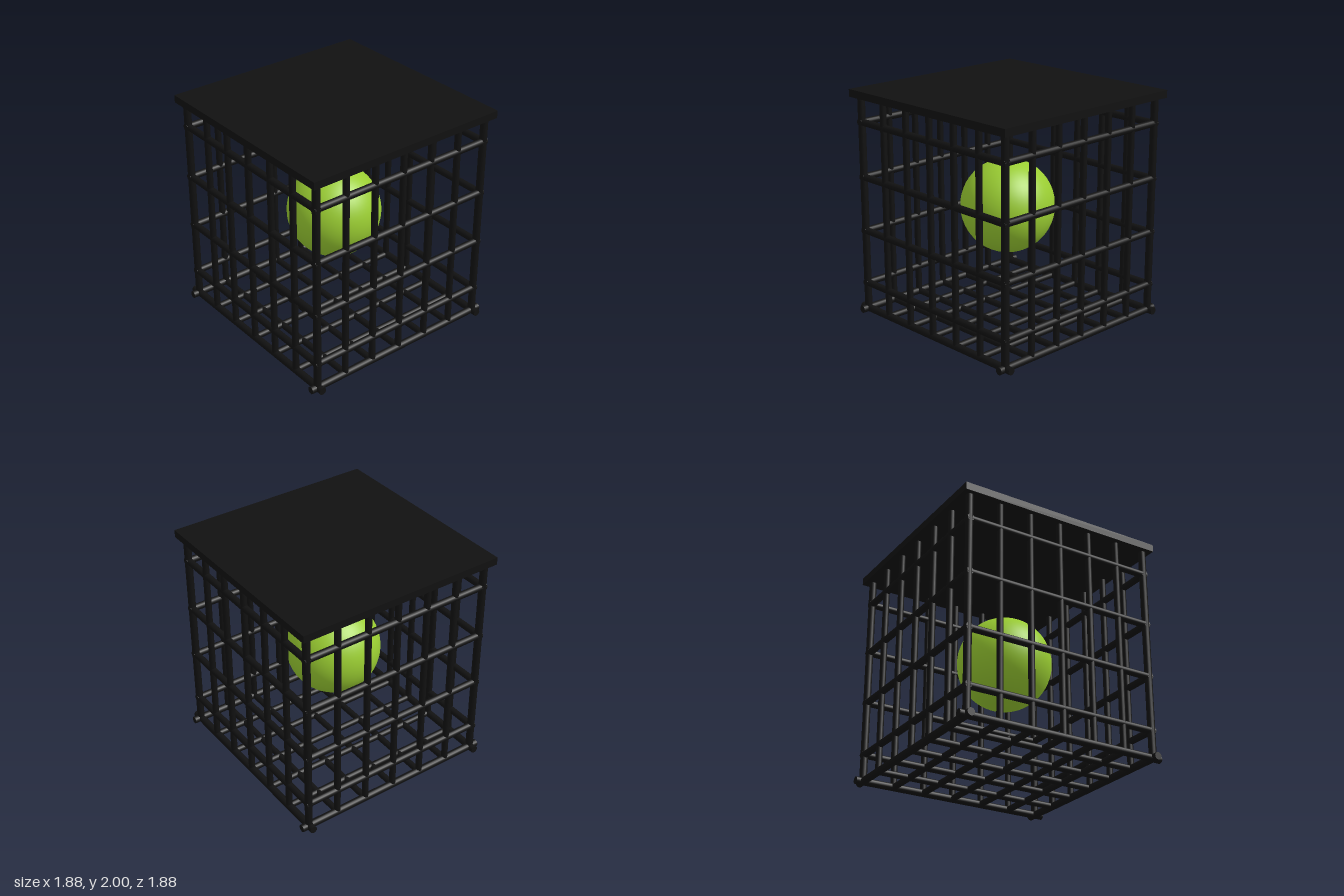
import * as THREE from 'three';

const HALF = 0.867;        // distance of the bar walls from the centre
const STEP = HALF / 3;     // spacing of the bars
const FRAME_R = 0.0325;
const BAR_R = 0.028;
const RAIL_R = 0.03;

export function createModel() {
  const group = new THREE.Group();
  const black = new THREE.MeshStandardMaterial({ color: 0x111111 });
  const green = new THREE.MeshStandardMaterial({ color: 0x9acd32 });

  const add = (name, geometry, material, x, y, z) => {
    const mesh = new THREE.Mesh(geometry, material);
    mesh.name = name;
    mesh.position.set(x, y, z);
    group.add(mesh);
    return mesh;
  };

  // A round bar along the given axis
  const bar = (name, axis, radius, length, x, y, z) => {
    const mesh = add(name, new THREE.CylinderGeometry(radius, radius, length, 16), black, x, y, z);
    if (axis === 'x') mesh.rotation.z = Math.PI / 2;
    if (axis === 'z') mesh.rotation.x = Math.PI / 2;
  };

  // Solid lid
  add('lid', new THREE.BoxGeometry(1.876, 0.066, 1.876), black, 0, 1.967, 0);

  // Ball floating in the middle
  add('ball', new THREE.SphereGeometry(0.407, 48, 32), green, 0, 0.99, 0);

  for (const side of [-1, 1]) {
    const w = side * HALF;

    // Base frame, its ends crossing at the corners
    bar('baseFrame', 'x', FRAME_R, 1.876, 0, FRAME_R, w);
    bar('baseFrame', 'z', FRAME_R, 1.876, w, FRAME_R, 0);

    // Corner posts
    for (const s of [-1, 1]) bar('cornerPost', 'y', FRAME_R, 1.91, w, 0.985, s * HALF);

    // Upright bars of the walls
    for (let i = -2; i <= 2; i++) {
      bar('uprightBar', 'y', BAR_R, 1.91, i * STEP, 0.985, w);
      bar('uprightBar', 'y', BAR_R, 1.91, w, 0.985, i * STEP);
    }

    // Horizontal rails of the walls
    for (let k = 0; k < 4; k++) {
      const y = 0.27 + k * 0.482;
      bar('wallRail', 'x', RAIL_R, 1.79, 0, y, w);
      bar('wallRail', 'z', RAIL_R, 1.79, w, y, 0);
    }
  }

  // Floor lattice
  for (let i = -2; i <= 2; i++) {
    bar('floorBar', 'x', BAR_R, 2 * HALF, 0, FRAME_R, i * STEP);
    bar('floorBar', 'z', BAR_R, 2 * HALF, i * STEP, FRAME_R, 0);
  }

  return group;
}
